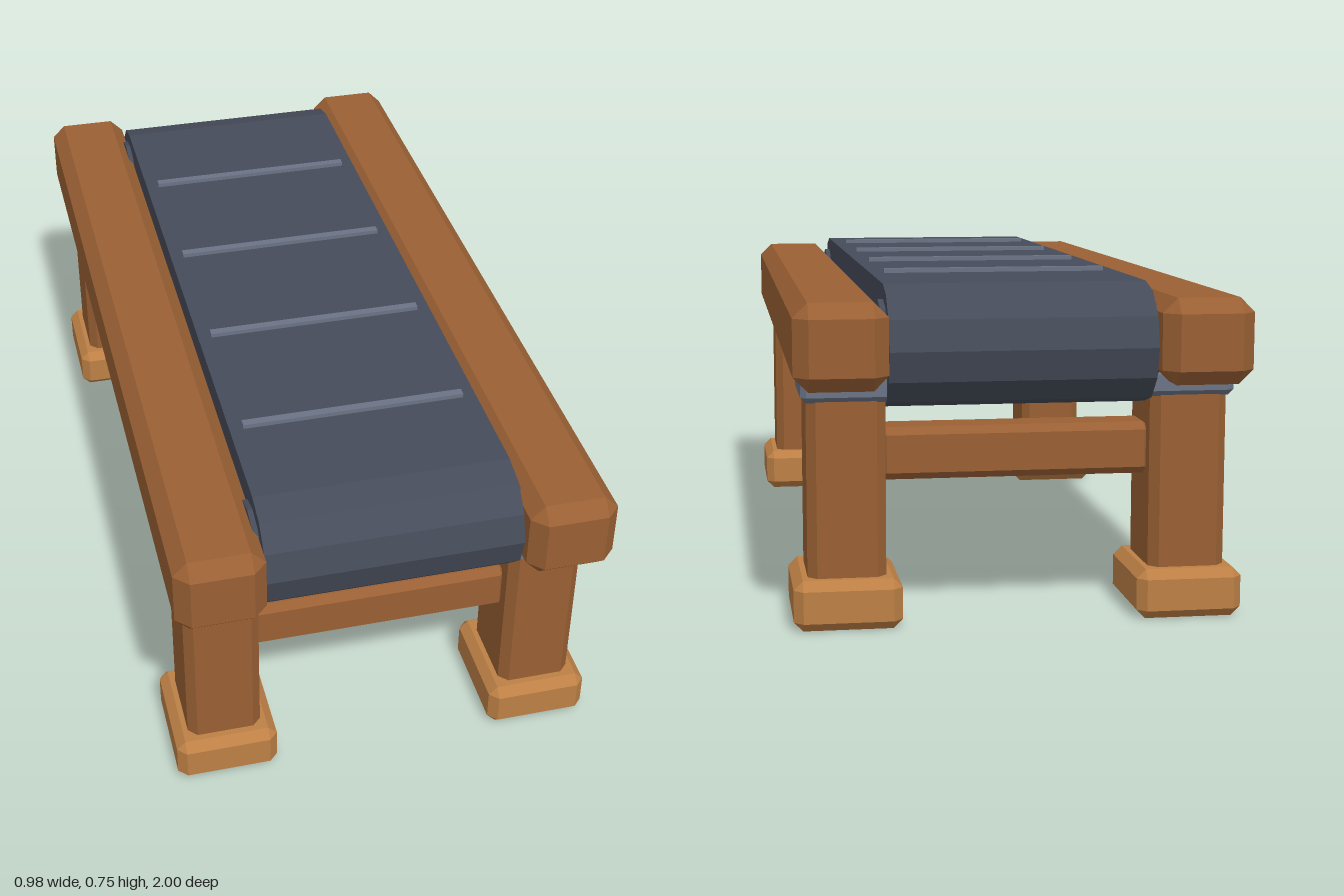
import * as THREE from 'three';
import { ConvexGeometry } from 'three/addons/geometries/ConvexGeometry.js';

const paint = (color) => new THREE.MeshStandardMaterial({ color, flatShading: true });

// Box with all edges and corners cut off by c
function chamferBox(w, h, d, c) {
  const half = [w / 2, h / 2, d / 2];
  const points = [];
  for (const sx of [-1, 1]) for (const sy of [-1, 1]) for (const sz of [-1, 1]) {
    for (let axis = 0; axis < 3; axis++) {
      const [x, y, z] = half.map((v, i) => (i === axis ? v : v - c));
      points.push(new THREE.Vector3(sx * x, sy * y, sz * z));
    }
  }
  return new ConvexGeometry(points);
}

export function createModel() {
  const model = new THREE.Group();
  model.name = 'conveyor';
  const wood = paint(0x9a6034);
  const paleWood = paint(0xbd8045);
  const rubber = paint(0x454b59);
  const metal = paint(0x6b7385);

  const add = (name, geometry, material, x, y, z) => {
    const mesh = new THREE.Mesh(geometry, material);
    mesh.name = name;
    mesh.position.set(x, y, z);
    model.add(mesh);
    return mesh;
  };

  // Belt loop: straight runs joined by faceted half circles
  const beltY = 0.6025, beltR = 0.1325, rollerZ = 0.8225, beltWidth = 0.576;
  const outline = [];
  for (const [centre, start] of [[rollerZ, -90], [-rollerZ, 90]]) {
    for (let i = 0; i <= 6; i++) {
      const a = THREE.MathUtils.degToRad(start + i * 30);
      outline.push(new THREE.Vector2(centre + beltR * Math.cos(a), beltR * Math.sin(a)));
    }
  }
  const beltGeometry = new THREE.ExtrudeGeometry(new THREE.Shape(outline), { depth: beltWidth, bevelEnabled: false });
  beltGeometry.translate(0, 0, -beltWidth / 2).rotateY(-Math.PI / 2);
  add('belt', beltGeometry, rubber, 0, beltY, 0);

  // Raised cleats across the belt
  for (let i = 0; i < 4; i++) {
    add('cleat', new THREE.BoxGeometry(0.514, 0.02, 0.02), metal, 0, 0.735, -0.525 + i * 0.367);
  }

  // Side rails
  for (const side of [-1, 1]) {
    add('sideRail', chamferBox(0.2, 0.186, 2, 0.032), wood, side * 0.39, 0.617, 0);
  }

  for (const end of [-1, 1]) {
    // Roller and cross bar at each end
    const roller = add('roller', new THREE.CylinderGeometry(0.1, 0.1, 0.6, 12), rubber, 0, beltY, end * rollerZ);
    roller.rotation.z = Math.PI / 2;
    add('crossBar', chamferBox(0.6, 0.115, 0.11, 0.016), wood, 0, 0.368, end * 0.79);

    // Leg, foot and collar at each corner
    for (const side of [-1, 1]) {
      add('leg', chamferBox(0.17, 0.5, 0.2, 0.02), wood, side * 0.374, 0.31, end * 0.79);
      add('foot', chamferBox(0.234, 0.11, 0.27, 0.02), paleWood, side * 0.374, 0.055, end * 0.79);
      add('collar', chamferBox(0.194, 0.06, 0.22, 0.012), metal, side * 0.374, 0.52, end * 0.79);
    }
  }
  return model;
}
